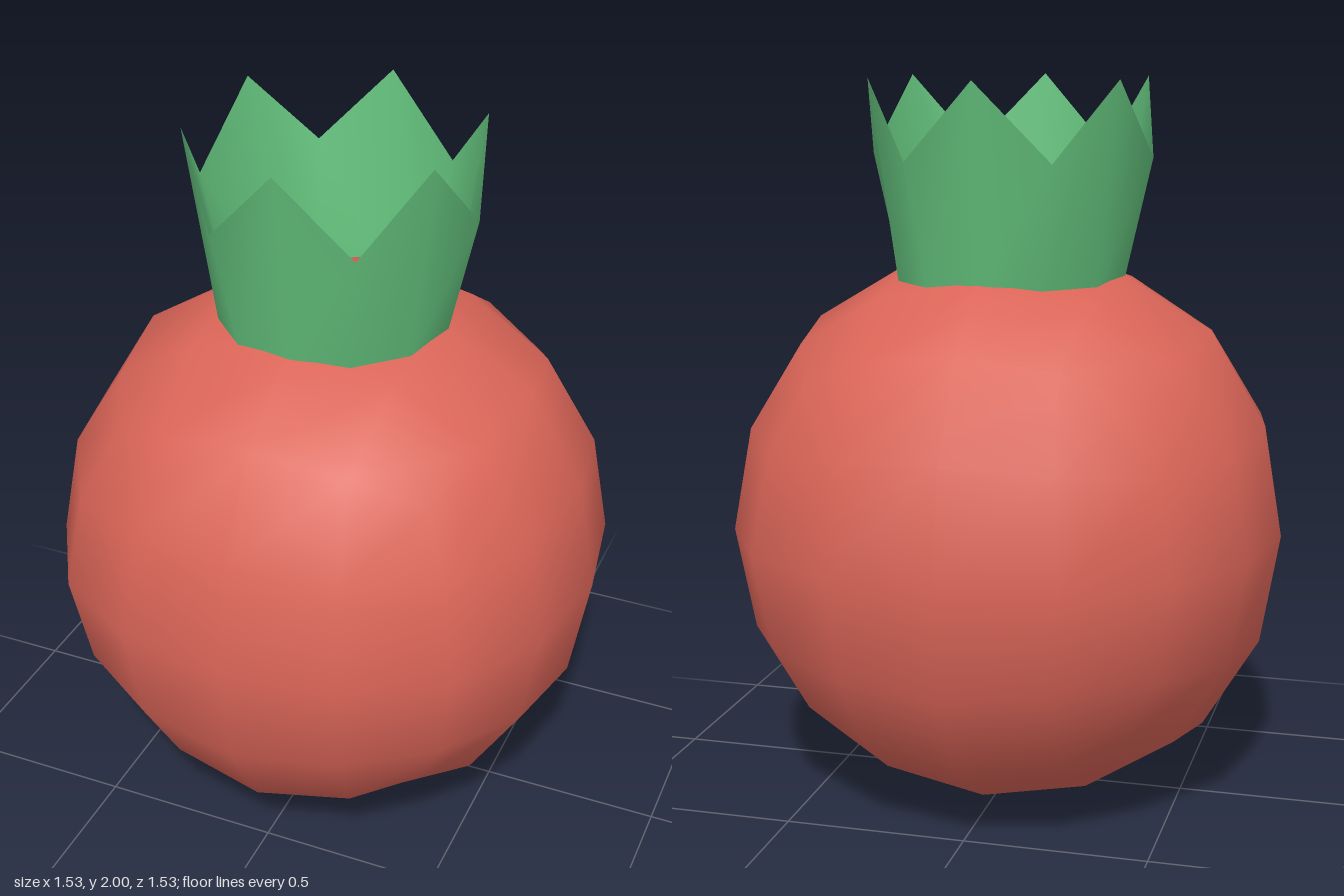
import * as THREE from 'three';
import { mergeVertices } from 'three/addons/utils/BufferGeometryUtils.js';

// Cube rounded by two smoothing steps: where each kind of grid point lands,
// keyed by its two smaller coordinates (the largest is always 1)
const ROUNDED = {
  '0,0': [0.878, 0, 0],
  '0.5,0': [0.819, 0.35, 0],
  '0.5,0.5': [0.764, 0.326, 0.326],
  '1,0': [0.643, 0.643, 0],
  '1,0.5': [0.599, 0.599, 0.302],
  '1,1': [0.509, 0.509, 0.509],
};

function roundedCube(radius) {
  let geo = new THREE.BoxGeometry(2, 2, 2, 4, 4, 4);
  const p = geo.attributes.position;
  const scale = radius / 0.878;
  for (let i = 0; i < p.count; i++) {
    const v = [p.getX(i), p.getY(i), p.getZ(i)];
    const order = [0, 1, 2].sort((a, b) => Math.abs(v[b]) - Math.abs(v[a]));
    const target = ROUNDED[`${Math.abs(v[order[1]])},${Math.abs(v[order[2]])}`];
    const out = [0, 0, 0];
    order.forEach((axis, k) => { out[axis] = Math.sign(v[axis]) * target[k] * scale; });
    p.setXYZ(i, ...out);
  }
  geo.deleteAttribute('normal');
  geo.deleteAttribute('uv');
  geo = mergeVertices(geo);
  geo.computeVertexNormals();
  return geo;
}

// Flared open ring whose upper rim alternates between points and notches
function zigzagRing(sides, rBottom, yBottom, rTop, yPeak, yNotch) {
  const pos = [], index = [];
  for (let i = 0; i < sides; i++) {
    const a = (i / sides) * Math.PI * 2;
    const s = Math.sin(a), c = Math.cos(a);
    pos.push(rBottom * s, yBottom, rBottom * c);
    pos.push(rTop * s, i % 2 ? yNotch : yPeak, rTop * c);
    const b = 2 * i, n = 2 * ((i + 1) % sides);
    index.push(b, n, n + 1, b, n + 1, b + 1);
  }
  const geo = new THREE.BufferGeometry();
  geo.setAttribute('position', new THREE.Float32BufferAttribute(pos, 3));
  geo.setIndex(index);
  geo.computeVertexNormals();
  return geo;
}

export function createModel() {
  const group = new THREE.Group();
  group.name = 'pomegranate';

  // Round fruit
  const fruit = new THREE.Mesh(
    roundedCube(0.765),
    new THREE.MeshStandardMaterial({ color: 0xdb6558 })
  );
  fruit.name = 'fruit';
  fruit.position.y = 0.767;
  group.add(fruit);

  // Pointed crown, with its base sunk slightly into the fruit
  const crown = new THREE.Mesh(
    zigzagRing(12, 0.315, 1.44, 0.394, 2, 1.79),
    new THREE.MeshStandardMaterial({ color: 0x62bf7b, side: THREE.DoubleSide })
  );
  crown.name = 'crown';
  group.add(crown);

  return group;
}
